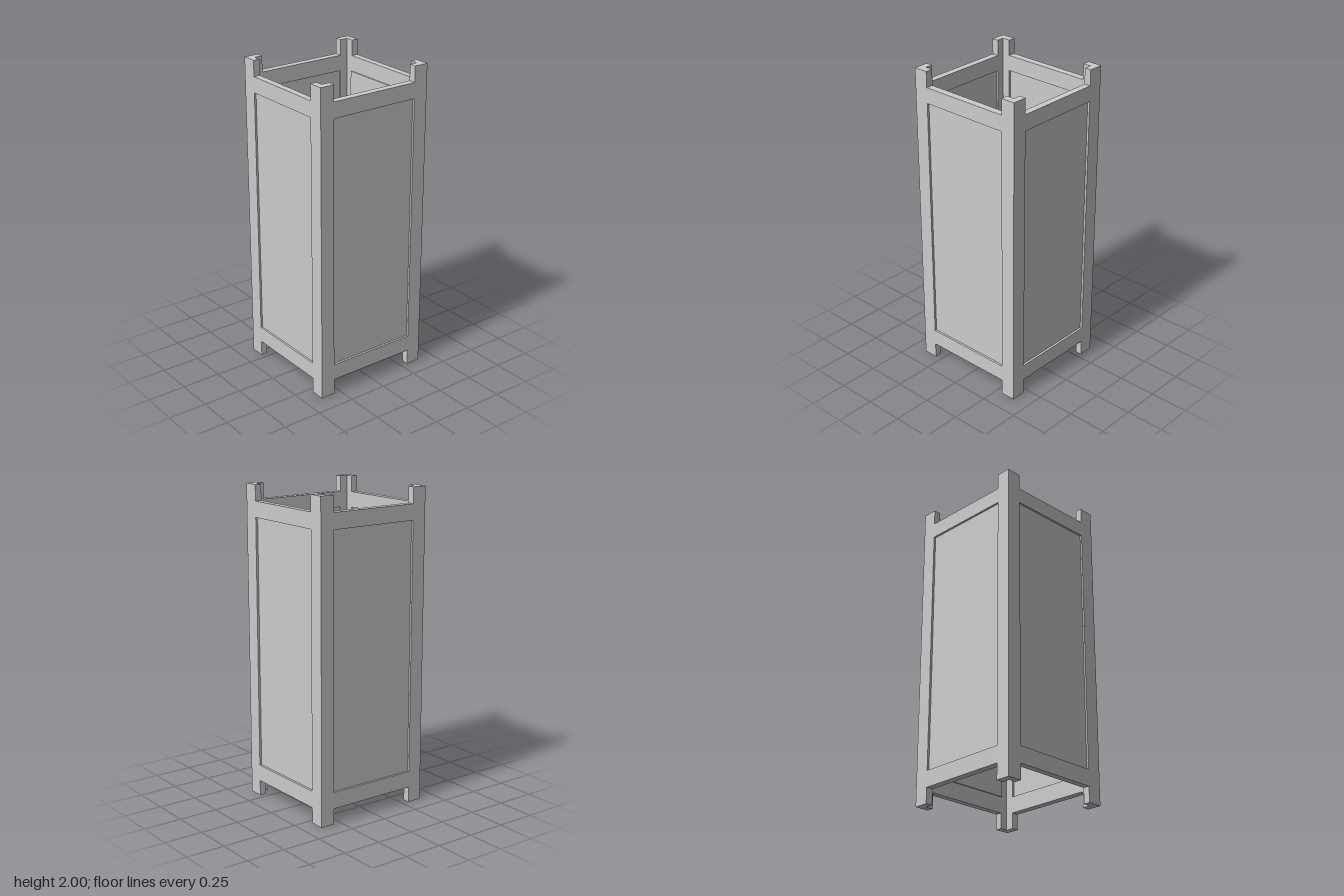
import * as THREE from 'three';

const HX = 0.39, HZ = 0.38;      // outer half width and half depth
const TX = 0.043, TZ = 0.047;    // thickness of the side walls and of the front/back walls
const POST_X = 0.296, POST_Z = 0.284; // inner edges of the corner posts

const material = new THREE.MeshStandardMaterial({ color: 0xcccccc, flatShading: true });

// Frame with two posts, top and bottom rails and a panel opening
function frameGeometry(halfWidth, post, thickness) {
  const w = halfWidth;
  const shape = new THREE.Shape([
    [-w, 0], [-post, 0], [-post, 0.1], [post, 0.1], [post, 0], [w, 0],
    [w, 2], [post, 2], [post, 1.9], [-post, 1.9], [-post, 2], [-w, 2],
  ].map(([x, y]) => new THREE.Vector2(x, y)));
  shape.holes.push(new THREE.Path([
    [-post, 0.205], [-post, 1.8], [post, 1.8], [post, 0.205],
  ].map(([x, y]) => new THREE.Vector2(x, y))));
  return new THREE.ExtrudeGeometry(shape, { depth: thickness, bevelEnabled: false });
}

// One wall, built facing +z with its outer face at distance `out`, then turned into place
function makeWall(name, { halfWidth, post, thickness, out, angle, recess, panelDepth }) {
  const wall = new THREE.Group();
  wall.name = name;

  const frame = new THREE.Mesh(frameGeometry(halfWidth, post, thickness), material);
  frame.name = name + 'Frame';
  frame.position.z = out - thickness;

  const panel = new THREE.Mesh(new THREE.BoxGeometry(post * 2, 1.595, panelDepth), material);
  panel.name = name + 'Panel';
  panel.position.set(0, 1.0025, out - recess - panelDepth / 2);

  wall.add(frame, panel);
  wall.rotation.y = angle;
  return wall;
}

export function createModel() {
  const model = new THREE.Group();
  model.name = 'panelledPlanter';

  // Front and back walls span the full width; side walls fit between them
  const wide = { halfWidth: HX, post: POST_X, thickness: TZ, out: HZ, recess: 0.0135, panelDepth: 0.02 };
  const side = { halfWidth: HZ - TZ, post: POST_Z, thickness: TX, out: HX };

  model.add(
    makeWall('frontWall', { ...wide, angle: 0 }),
    makeWall('backWall', { ...wide, angle: Math.PI }),
    // The left panel stands slightly proud of the inside face
    makeWall('leftWall', { ...side, angle: Math.PI / 2, recess: 0.014, panelDepth: 0.037 }),
    makeWall('rightWall', { ...side, angle: -Math.PI / 2, recess: 0.012, panelDepth: 0.02 }),
  );
  return model;
}
